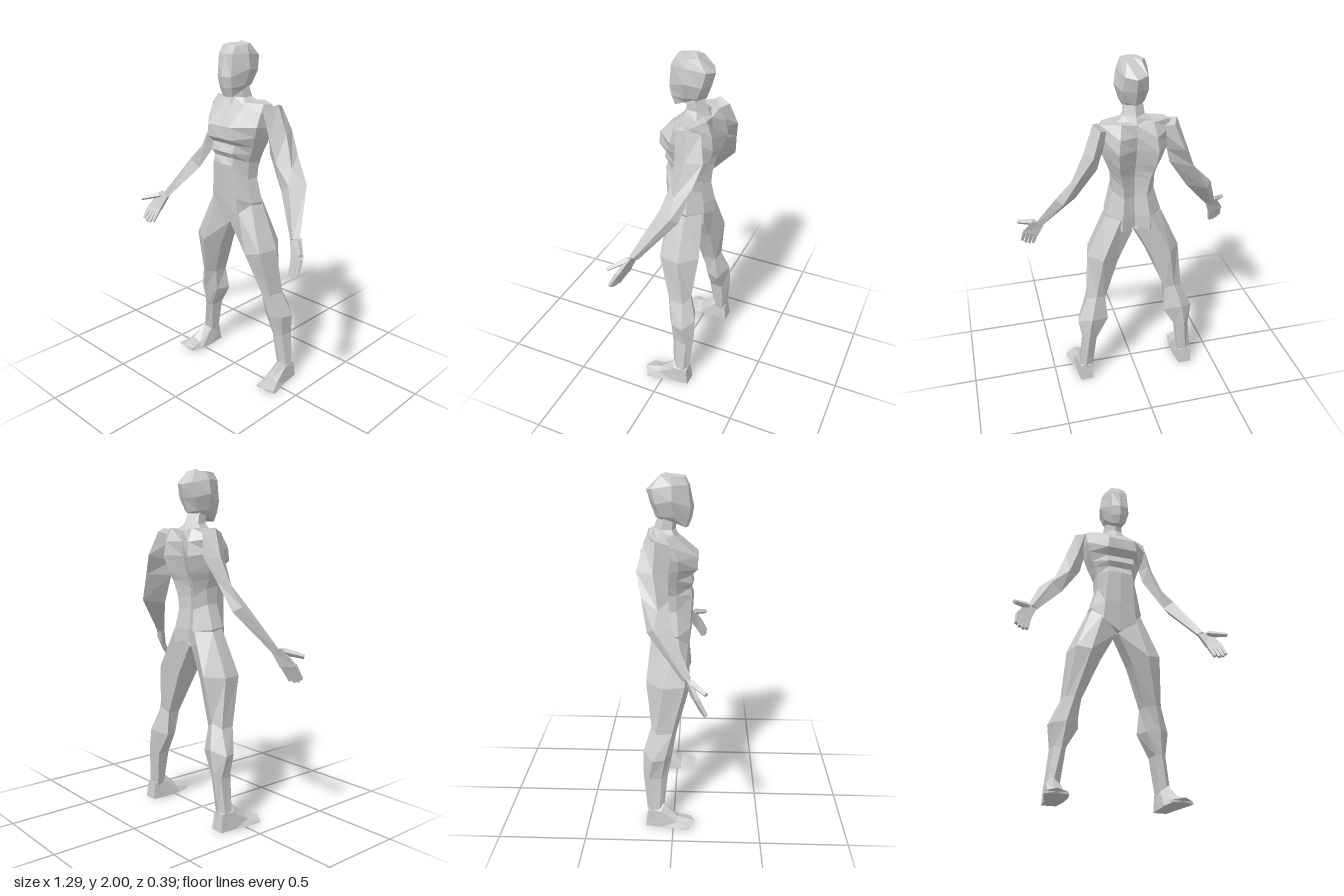
import * as THREE from 'three';

const skin = new THREE.MeshStandardMaterial({ color: 0xcccccc, flatShading: true });
skin.name = 'plain grey';

// Closed, capped skin through rings of equal point count, always facing outward
function loft(rings) {
  const n = rings[0].length, tris = [];
  const mid = r => [0, 1, 2].map(k => r.reduce((s, p) => s + p[k], 0) / n);
  for (let i = 0; i < rings.length - 1; i++) {
    for (let j = 0; j < n; j++) {
      const k = (j + 1) % n, a = rings[i], b = rings[i + 1];
      tris.push([a[j], a[k], b[k]], [a[j], b[k], b[j]]);
    }
  }
  const first = rings[0], last = rings[rings.length - 1];
  for (let j = 0; j < n; j++) {
    const k = (j + 1) % n;
    tris.push([mid(first), first[k], first[j]], [mid(last), last[j], last[k]]);
  }
  const v = p => new THREE.Vector3(...p);
  const volume = tris.reduce((s, [a, b, c]) => s + v(a).dot(v(b).cross(v(c))), 0);
  if (volume < 0) tris.forEach(t => t.reverse());
  const g = new THREE.BufferGeometry();
  g.setAttribute('position', new THREE.Float32BufferAttribute(tris.flat(2), 3));
  g.computeVertexNormals();
  return g;
}

// Full ring from a half that runs from front centre to back centre
const whole = half => [...half, ...half.slice(1, -1).reverse().map(([x, y, z]) => [-x, y, z])];

// Tapered square bar between two points
function bar(a, b, wa, wb) {
  const A = new THREE.Vector3(...a), B = new THREE.Vector3(...b);
  const d = B.clone().sub(A).normalize();
  const u = new THREE.Vector3(0.9, 0.25, 0.3).addScaledVector(d, -new THREE.Vector3(0.9, 0.25, 0.3).dot(d));
  if (u.length() < 0.3) u.set(0, 1, 0).addScaledVector(d, -d.y);
  u.normalize();
  const w = d.clone().cross(u);
  const ring = (p, s) => [[1, 1], [-1, 1], [-1, -1], [1, -1]].map(([i, j]) =>
    p.clone().addScaledVector(u, i * s).addScaledVector(w, j * s).toArray());
  return loft([ring(A, wa), ring(B, wb)]);
}

export function createModel() {
  const model = new THREE.Group();
  model.name = 'lowPolyMan';
  const add = (parent, name, geometry) => {
    const m = new THREE.Mesh(geometry, skin);
    m.name = name;
    parent.add(m);
  };

  // Head, from crown to jaw
  add(model, 'head', loft([
    [[0, 1.985, 0.05], [0.045, 1.98, 0.045], [0.065, 1.985, -0.03], [0.04, 1.985, -0.08], [0, 2, -0.05]],
    [[0, 1.94, 0.075], [0.05, 1.94, 0.068], [0.085, 1.94, -0.02], [0.06, 1.92, -0.13], [0, 1.91, -0.16]],
    [[0, 1.82, 0.1], [0.05, 1.82, 0.08], [0.097, 1.86, -0.02], [0.07, 1.84, -0.11], [0, 1.84, -0.14]],
    [[0, 1.76, 0.09], [0.045, 1.76, 0.07], [0.07, 1.77, -0.01], [0.055, 1.77, -0.08], [0, 1.76, -0.11]],
    [[0, 1.71, 0.07], [0.035, 1.71, 0.055], [0.045, 1.735, 0], [0.04, 1.75, -0.07], [0, 1.75, -0.09]],
  ].map(whole)));

  // Neck widening into the shoulders
  add(model, 'neck', loft([
    [[0, 1.76, 0.01], [0.045, 1.77, -0.01], [0.05, 1.77, -0.06], [0, 1.78, -0.095]],
    [[0, 1.70, 0], [0.05, 1.70, -0.02], [0.058, 1.70, -0.08], [0, 1.70, -0.12]],
    [[0, 1.63, 0.03], [0.08, 1.65, 0], [0.11, 1.665, -0.1], [0, 1.64, -0.15]],
  ].map(whole)));

  // Chest, with the chest ledge in front and the spine groove behind
  add(model, 'chest', loft([
    [[0, 1.665, 0], [0.07, 1.675, -0.01], [0.17, 1.675, -0.05], [0.19, 1.67, -0.1], [0.09, 1.675, -0.15], [0, 1.66, -0.145]],
    [[0, 1.64, 0.035], [0.08, 1.64, 0.03], [0.185, 1.63, -0.01], [0.2, 1.62, -0.1], [0.1, 1.6, -0.185], [0, 1.6, -0.15]],
    [[0, 1.56, 0.12], [0.08, 1.56, 0.125], [0.185, 1.56, 0.02], [0.19, 1.54, -0.09], [0.11, 1.52, -0.195], [0, 1.52, -0.14]],
    [[0, 1.49, 0.125], [0.09, 1.49, 0.125], [0.17, 1.5, 0.02], [0.175, 1.48, -0.08], [0.1, 1.43, -0.17], [0, 1.43, -0.115]],
    [[0, 1.455, 0.085], [0.085, 1.455, 0.085], [0.15, 1.44, 0.01], [0.155, 1.43, -0.08], [0.09, 1.38, -0.145], [0, 1.38, -0.1]],
  ].map(whole)));

  // Abdomen and pelvis, ending in a V at the crotch
  add(model, 'abdomen', loft([
    [[0, 1.455, 0.085], [0.085, 1.455, 0.085], [0.15, 1.44, 0.01], [0.155, 1.43, -0.08], [0.09, 1.38, -0.145], [0, 1.38, -0.1]],
    [[0, 1.41, 0.105], [0.08, 1.41, 0.1], [0.135, 1.4, 0.01], [0.14, 1.39, -0.07], [0.08, 1.34, -0.135], [0, 1.34, -0.09]],
    [[0, 1.38, 0.085], [0.07, 1.38, 0.085], [0.12, 1.35, 0.01], [0.12, 1.34, -0.07], [0.07, 1.29, -0.125], [0, 1.29, -0.085]],
    [[0, 1.34, 0.105], [0.075, 1.34, 0.095], [0.115, 1.25, 0.01], [0.118, 1.25, -0.06], [0.065, 1.22, -0.12], [0, 1.22, -0.085]],
    [[0, 1.15, 0.095], [0.09, 1.15, 0.085], [0.155, 1.12, 0.02], [0.16, 1.11, -0.06], [0.08, 1.1, -0.14], [0, 1.1, -0.1]],
    [[0, 0.97, 0.075], [0.1, 1.03, 0.08], [0.13, 1.03, 0.01], [0.13, 1.03, -0.06], [0.08, 1.02, -0.14], [0, 1.03, -0.1]],
  ].map(whole)));

  // Limb parts of the left side, mirrored for the right
  const legRings = [
    [[0.1, 1.06, 0.075], [0.15, 1.11, 0.02], [0.165, 1.1, -0.06], [0.09, 1.1, -0.135], [0.01, 1, -0.09], [0.005, 0.97, 0.04]],
    [[0.17, 0.83, 0.09], [0.25, 0.85, 0.06], [0.275, 0.85, -0.06], [0.2, 0.86, -0.16], [0.1, 0.82, -0.1], [0.095, 0.8, 0.02]],
    [[0.24, 0.57, 0.015], [0.28, 0.57, -0.01], [0.292, 0.57, -0.1], [0.24, 0.6, -0.13], [0.185, 0.57, -0.11], [0.19, 0.57, -0.03]],
    [[0.275, 0.43, -0.01], [0.335, 0.43, -0.05], [0.355, 0.43, -0.12], [0.28, 0.46, -0.175], [0.175, 0.43, -0.13], [0.205, 0.43, -0.05]],
    [[0.29, 0.3, -0.035], [0.325, 0.3, -0.07], [0.335, 0.3, -0.14], [0.3, 0.33, -0.175], [0.25, 0.3, -0.14], [0.26, 0.3, -0.06]],
    [[0.325, 0.1, -0.055], [0.355, 0.09, -0.08], [0.36, 0.08, -0.13], [0.325, 0.08, -0.15], [0.28, 0.08, -0.13], [0.285, 0.09, -0.08]],
  ];
  const footRings = [
    [[0.36, 0, -0.16], [0.355, 0.1, -0.148], [0.325, 0.11, -0.15], [0.285, 0.1, -0.148], [0.28, 0, -0.16]],
    [[0.37, 0, -0.06], [0.36, 0.1, -0.07], [0.33, 0.135, -0.055], [0.285, 0.1, -0.07], [0.27, 0, -0.06]],
    [[0.395, 0.005, 0.03], [0.375, 0.04, 0.025], [0.345, 0.06, 0.03], [0.29, 0.04, 0.025], [0.268, 0.005, 0.03]],
    [[0.41, 0.01, 0.09], [0.405, 0.025, 0.09], [0.35, 0.035, 0.125], [0.285, 0.025, 0.1], [0.28, 0.01, 0.1]],
  ];
  const armRings = [
    [[0.23, 1.675, -0.1], [0.19, 1.645, -0.02], [0.12, 1.62, -0.08], [0.2, 1.655, -0.165]],
    [[0.285, 1.52, -0.11], [0.23, 1.5, -0.03], [0.185, 1.48, -0.08], [0.25, 1.52, -0.2]],
    [[0.355, 1.34, -0.08], [0.28, 1.37, -0.03], [0.205, 1.4, -0.07], [0.32, 1.4, -0.17]],
    [[0.445, 1.265, -0.1], [0.385, 1.27, -0.015], [0.325, 1.22, -0.03], [0.41, 1.24, -0.135]],
    [[0.545, 1.035, 0.07], [0.52, 1.035, 0.1], [0.49, 1.02, 0.085], [0.52, 1.015, 0.055]],
  ];
  const palmRings = [
    [[0.56, 1.045, 0.075], [0.555, 1.04, 0.1], [0.495, 1.02, 0.09], [0.5, 1.02, 0.065]],
    [[0.618, 0.955, 0.125], [0.61, 0.95, 0.15], [0.53, 0.935, 0.125], [0.535, 0.93, 0.1]],
  ];

  const mirrorX = g => {
    const p = g.attributes.position, tris = [];
    for (let i = 0; i < p.count; i += 3) {
      for (const k of [i, i + 2, i + 1]) tris.push(-p.getX(k), p.getY(k), p.getZ(k));
    }
    const m = new THREE.BufferGeometry();
    m.setAttribute('position', new THREE.Float32BufferAttribute(tris, 3));
    m.computeVertexNormals();
    return m;
  };

  for (const side of ['left', 'right']) {
    const place = g => (side === 'left' ? g : mirrorX(g));
    add(model, side + 'Leg', place(loft(legRings)));
    add(model, side + 'Foot', place(loft(footRings)));
    add(model, side + 'Arm', place(loft(armRings)));

    // Hand: palm, four fingers and an outward thumb
    const hand = new THREE.Group();
    hand.name = side + 'Hand';
    add(hand, 'palm', place(loft(palmRings)));
    for (let i = 0; i < 4; i++) {
      const t = i / 3, len = [0.9, 1, 1, 0.88][i];
      const root = [0.542 + 0.062 * t, 0.94 + 0.012 * t, 0.115 + 0.02 * t];
      const tip = [root[0] + 0.018 * len, root[1] - 0.092 * len, root[2] + 0.05 * len];
      add(hand, 'finger', place(bar(root, tip, 0.011, 0.008)));
    }
    add(hand, 'thumb', place(bar([0.55, 1.025, 0.1], [0.638, 0.998, 0.178], 0.015, 0.009)));
    model.add(hand);
  }
  return model;
}
